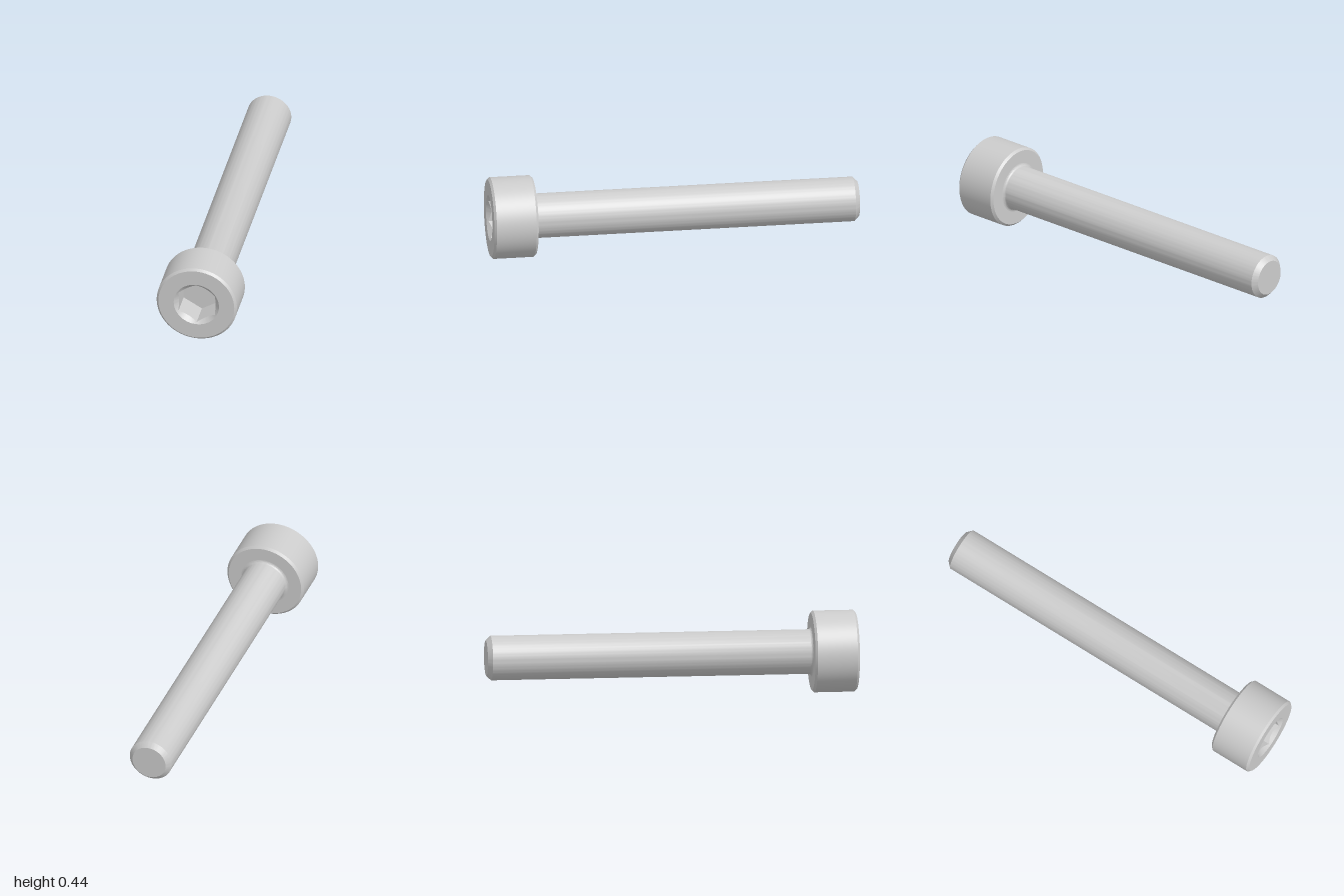
import * as THREE from 'three';
import { toCreasedNormals } from 'three/addons/utils/BufferGeometryUtils.js';

const SEGMENTS = 96;
const HEAD_R = 0.22, HEAD_BACK = 0.76, BEVEL = 0.012;
const SHANK_R = 0.12, TIP_R = 0.095, FILLET = 0.016;
const MOUTH_R = 0.124, HEX_APOTHEM = 0.1, SOCKET_DEPTH = 0.15;

const material = new THREE.MeshStandardMaterial({ color: 0xcccccc });

function makeMesh(name, geometry) {
  const mesh = new THREE.Mesh(toCreasedNormals(geometry, 0.45), material);
  mesh.name = name;
  return mesh;
}

// Turned part: profile of [radius, z] pairs running from back to front
function turned(name, profile) {
  const points = profile.map(([r, z]) => new THREE.Vector2(r, z));
  return makeMesh(name, new THREE.LatheGeometry(points, SEGMENTS).rotateX(Math.PI / 2));
}

// Hexagon radius at an angle, with corners at the top and bottom
function hexRadius(angle) {
  const step = Math.PI / 3;
  return HEX_APOTHEM / Math.cos(angle - step * Math.round(angle / step));
}

// Hex socket: 45 degree countersink cut by six walls, with a flat floor
function makeSocket() {
  const floorZ = 1 - SOCKET_DEPTH;
  const rings = [
    () => [MOUTH_R, 1],
    (a) => [hexRadius(a), 1 - (MOUTH_R - hexRadius(a))],
    (a) => [hexRadius(a), floorZ],
    () => [0, floorZ],
  ];
  const positions = [], indices = [];
  for (const ring of rings) {
    for (let i = 0; i < SEGMENTS; i++) {
      const a = (i / SEGMENTS) * Math.PI * 2;
      const [r, z] = ring(a);
      positions.push(r * Math.cos(a), r * Math.sin(a), z);
    }
  }
  for (let k = 0; k < rings.length - 1; k++) {
    for (let i = 0; i < SEGMENTS; i++) {
      const j = (i + 1) % SEGMENTS;
      const a = k * SEGMENTS + i, b = k * SEGMENTS + j;
      const c = a + SEGMENTS, d = b + SEGMENTS;
      indices.push(a, b, c);
      if (k < rings.length - 2) indices.push(b, d, c);
    }
  }
  const geometry = new THREE.BufferGeometry();
  geometry.setAttribute('position', new THREE.Float32BufferAttribute(positions, 3));
  geometry.setIndex(indices);
  return makeMesh('hexSocket', geometry);
}

export function createModel() {
  const bolt = new THREE.Group();
  bolt.name = 'socketHeadBolt';

  // Shank with a chamfered tip and a fillet under the head
  const shank = [[0, -1], [TIP_R, -1], [SHANK_R, -0.975]];
  for (let i = 0; i <= 6; i++) {
    const a = (i / 6) * Math.PI / 2;
    shank.push([
      SHANK_R + FILLET * (1 - Math.cos(a)),
      HEAD_BACK - FILLET * (1 - Math.sin(a)),
    ]);
  }
  bolt.add(turned('shank', shank));

  // Cylindrical head, bevelled on both rims, open at the socket mouth
  bolt.add(turned('head', [
    [SHANK_R + FILLET, HEAD_BACK],
    [HEAD_R - BEVEL, HEAD_BACK],
    [HEAD_R, HEAD_BACK + BEVEL],
    [HEAD_R, 1 - BEVEL],
    [HEAD_R - BEVEL, 1],
    [MOUTH_R, 1],
  ]));

  bolt.add(makeSocket());
  bolt.position.y = HEAD_R;

  const model = new THREE.Group();
  model.name = 'model';
  model.add(bolt);
  return model;
}
